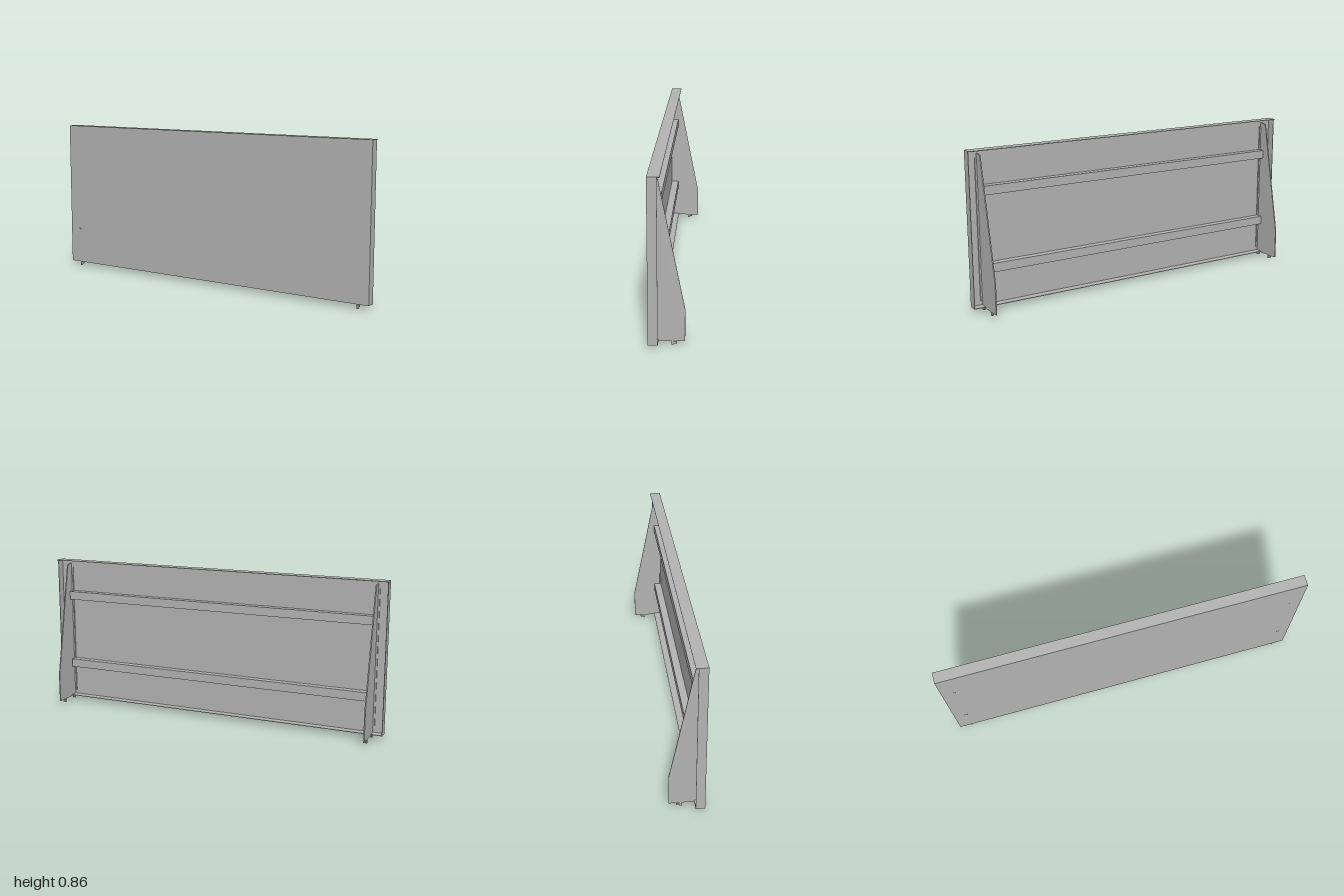
import * as THREE from 'three';

export function createModel() {
  const group = new THREE.Group();
  const grey = new THREE.MeshStandardMaterial({ color: 0xb2b2b2 });
  grey.name = 'painted grey metal';

  // box given by its minimum and maximum corners
  function box(name, x0, x1, y0, y1, z0, z1) {
    const mesh = new THREE.Mesh(new THREE.BoxGeometry(x1 - x0, y1 - y0, z1 - z0), grey);
    mesh.position.set((x0 + x1) / 2, (y0 + y1) / 2, (z0 + z1) / 2);
    mesh.name = name;
    group.add(mesh);
  }

  // flat plate standing in the z-y plane, centred on x
  function sidePlate(name, x, points, thickness) {
    const shape = new THREE.Shape(points.map(([z, y]) => new THREE.Vector2(-z, y)));
    const geometry = new THREE.ExtrudeGeometry(shape, { depth: thickness, bevelEnabled: false });
    geometry.translate(0, 0, -thickness / 2).rotateY(Math.PI / 2);
    const mesh = new THREE.Mesh(geometry, grey);
    mesh.position.x = x;
    mesh.name = name;
    group.add(mesh);
  }

  const t = 0.003, front = 0.0875, bottom = 0.025, top = 0.857;

  // folded sheet panel, open at the back
  box('frontPanel', -1, 1, bottom, top, front - t, front);
  box('topFlange', -1, 1, top - t, top, 0.027, front - t);
  box('bottomFlange', -1, 1, bottom, bottom + t, 0.04, front - t);

  // stiffening rails across the back
  for (const y of [0.645, 0.23]) {
    box('stiffeningRail', -0.925, 0.925, y - 0.024, y + 0.024, 0.043, front - t);
  }

  for (const side of [-1, 1]) {
    const x = side * 0.935;
    const edge = side * (1 - t / 2);
    box('sideFlange', edge - t / 2, edge + t / 2, bottom + t, top - t, 0.04, front - t);

    // tapered support bracket with its mounting strip
    sidePlate('supportBracket', x, [
      [0.081, 0.02], [0.081, 0.835], [0.04, 0.83], [-0.0875, 0.187], [-0.0875, 0.02],
    ], 0.006);
    box('mountingStrip', x - 0.012, x + 0.012, 0.05, 0.81, 0.078, front - t);

    // hooked feet below the bracket
    for (const z of [0.083, -0.021]) {
      sidePlate('hookedFoot', x, [
        [z, 0], [z, 0.022], [z - 0.011, 0.022], [z - 0.011, 0.016], [z - 0.028, 0.016],
        [z - 0.028, 0.007], [z - 0.012, 0.007], [z - 0.012, 0],
      ], 0.006);
    }

    // small fasteners on the front
    for (const y of [0.645, 0.23]) {
      box('frontFastener', x - 0.007, x + 0.007, y - 0.004, y + 0.004, front, front + 0.001);
    }
  }
  return group;
}
